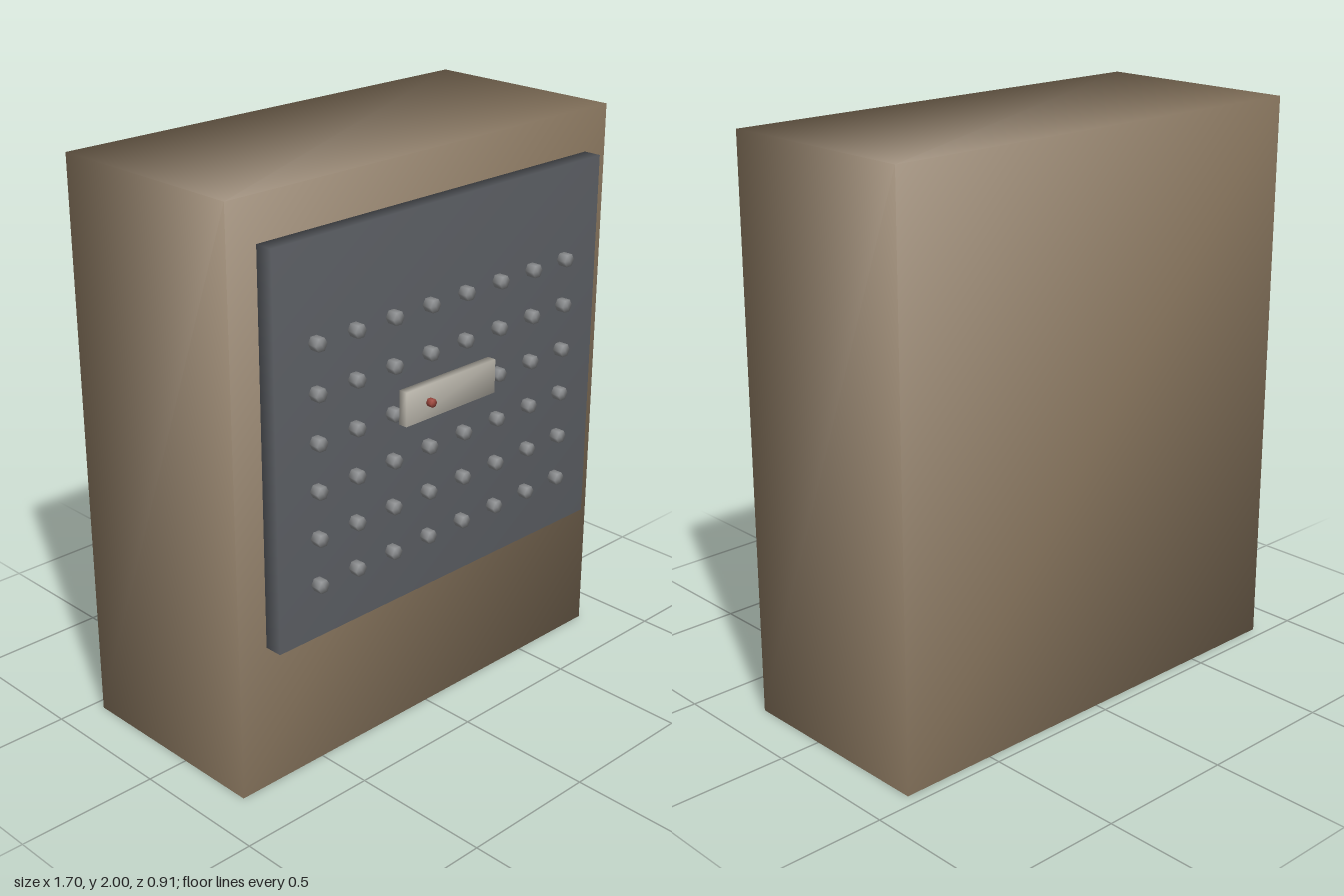
import * as THREE from 'three';
import { mergeVertices } from 'three/addons/utils/BufferGeometryUtils.js';

// Shares corner vertices so shading rolls smoothly over the edges
function soften(geometry) {
  geometry.deleteAttribute('uv');
  geometry.deleteAttribute('normal');
  const merged = mergeVertices(geometry, 1e-4);
  merged.computeVertexNormals();
  return merged;
}

// Box given by its minimum and maximum corners
function slab(name, min, max, material) {
  const size = max.map((v, i) => v - min[i]);
  const mesh = new THREE.Mesh(soften(new THREE.BoxGeometry(...size)), material);
  mesh.position.set(...max.map((v, i) => (v + min[i]) / 2));
  mesh.name = name;
  return mesh;
}

// Six-sided stud pointing along +z, with its back at z = 0
function studGeometry(radius, depth) {
  const g = new THREE.CylinderGeometry(radius, radius, depth, 6);
  g.rotateY(Math.PI / 6).rotateX(Math.PI / 2).translate(0, 0, depth / 2);
  return soften(g);
}

export function createModel() {
  const group = new THREE.Group();
  group.name = 'studdedPanelBlock';
  const paint = (color) => new THREE.MeshStandardMaterial({ color });
  const brown = paint(0x8b7860);
  const slate = paint(0x5a5d62);
  const steel = paint(0x8a8c8e);
  const pale = paint(0xb4b0a6);
  const red = paint(0xa04a40);

  // Main block and the panel in front of it
  group.add(slab('block', [-0.85, 0, -0.457], [0.85, 2, 0.298], brown));
  group.add(slab('panel', [-0.74, 0.52, 0.303], [0.74, 1.853, 0.367], slate));

  // Grid of studs
  const studs = new THREE.Group();
  studs.name = 'studs';
  const stud = studGeometry(0.024, 0.035);
  for (let row = 0; row < 6; row++) {
    for (let col = 0; col < 8; col++) {
      const mesh = new THREE.Mesh(stud, steel);
      mesh.name = 'stud';
      mesh.position.set(-0.58 + col * 0.163, 0.715 + row * 0.1625, 0.367);
      studs.add(mesh);
    }
  }
  group.add(studs);

  // Label bar with a small button
  group.add(slab('bar', [-0.253, 1.173, 0.404], [0.16, 1.29, 0.436], pale));
  const button = new THREE.Mesh(studGeometry(0.0145, 0.021), red);
  button.name = 'button';
  button.position.set(-0.151, 1.231, 0.436);
  group.add(button);

  return group;
}
